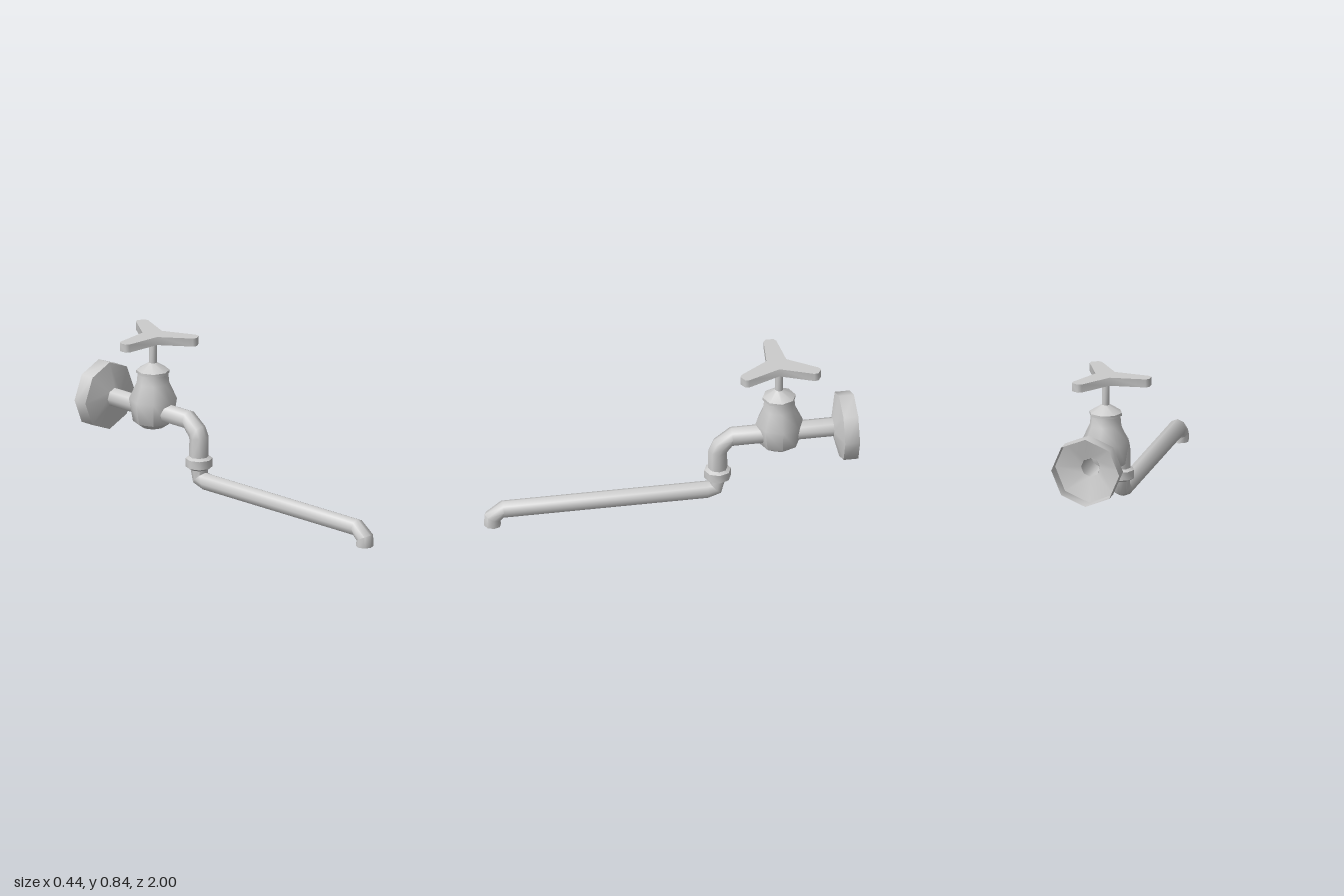
import * as THREE from 'three';
import { toCreasedNormals } from 'three/addons/utils/BufferGeometryUtils.js';

const SIDES = 8;
const PIPE_X = 0.028, VALVE_X = 0.023, VALVE_Z = -0.597;
const material = new THREE.MeshStandardMaterial({ color: 0xcccccc, side: THREE.DoubleSide });

function part(name, geometry, x = 0, y = 0, z = 0) {
  const mesh = new THREE.Mesh(toCreasedNormals(geometry, 0.95), material);
  mesh.name = name;
  mesh.position.set(x, y, z);
  return mesh;
}

// Eight-sided turned form; profile is [radius, height] from bottom to top
function turned(profile) {
  return new THREE.LatheGeometry(profile.map(([r, y]) => new THREE.Vector2(r, y)), SIDES);
}

// Pipe through rings of [y, z, downward angle of travel in degrees, radius]
function pipe(rings, capEnd = false) {
  const pos = [], index = [];
  for (const [y, z, deg, r] of rings) {
    const t = THREE.MathUtils.degToRad(deg);
    for (let j = 0; j < SIDES; j++) {
      const a = j / SIDES * Math.PI * 2, n = r * Math.cos(a);
      pos.push(r * Math.sin(a), y + n * Math.cos(t), z + n * Math.sin(t));
    }
  }
  for (let i = 0; i < rings.length - 1; i++) {
    for (let j = 0; j < SIDES; j++) {
      const a = i * SIDES + j, b = i * SIDES + (j + 1) % SIDES;
      index.push(a, a + SIDES, b, b, a + SIDES, b + SIDES);
    }
  }
  if (capEnd) {
    const s = (rings.length - 1) * SIDES;
    for (let j = 1; j < SIDES - 1; j++) index.push(s, s + j + 1, s + j);
  }
  const g = new THREE.BufferGeometry();
  g.setAttribute('position', new THREE.Float32BufferAttribute(pos, 3));
  g.setIndex(index);
  return g;
}

// Three tapered arms with clipped tips, joined by concave corners
function handleGeometry() {
  const pts = [];
  for (let k = 0; k < 3; k++) {
    const a = Math.PI + k * Math.PI * 2 / 3;
    for (const [u, v] of [[0.222, -0.034], [0.24, -0.021], [0.24, 0.021], [0.222, 0.034]]) {
      pts.push(new THREE.Vector2(u * Math.cos(a) - v * Math.sin(a), u * Math.sin(a) + v * Math.cos(a)));
    }
    const c = a + Math.PI / 3;
    pts.push(new THREE.Vector2(0.062 * Math.cos(c), 0.062 * Math.sin(c)));
  }
  const g = new THREE.ExtrudeGeometry(new THREE.Shape(pts), { depth: 0.045, bevelEnabled: false });
  return g.rotateX(-Math.PI / 2);
}

export function createModel() {
  const group = new THREE.Group();
  group.name = 'wallTap';

  // Hollow wall flange, open at the back
  group.add(part('wallFlange',
    turned([[0.187, -1], [0.187, -0.92], [0.052, -0.885]]).rotateX(Math.PI / 2), PIPE_X, 0.408, 0));

  // Pipe from the wall, through the valve and down the upper elbow
  group.add(part('inletPipe', pipe([
    [0.408, -0.89, 0, 0.052],
    [0.408, -0.337, 0, 0.052],
    [0.355, -0.277, 45, 0.052],
    [0.325, -0.264, 80, 0.052],
    [0.21, -0.264, 90, 0.052],
  ]), PIPE_X));

  // Collar joining the two pipes
  group.add(part('collar', turned([
    [0.046, 0.15], [0.072, 0.165], [0.072, 0.211], [0.05, 0.223],
  ]), PIPE_X, 0, -0.263));

  // Lower elbow, long spout and downturned tip
  group.add(part('spout', pipe([
    [0.17, -0.263, 90, 0.049],
    [0.104, -0.252, 45, 0.047],
    [0.09, -0.205, 0, 0.047],
    [0.09, 0.9, 0, 0.047],
    [0.047, 0.954, 64, 0.047],
    [0, 0.953, 90, 0.047],
  ], true), PIPE_X));

  // Valve
  group.add(part('valveBody', turned([
    [0, 0.315], [0.062, 0.315], [0.107, 0.345], [0.128, 0.47], [0.087, 0.56], [0.081, 0.617],
  ]), VALVE_X, 0, VALVE_Z));
  group.add(part('bonnet', turned([
    [0, 0.615], [0.089, 0.615], [0.089, 0.63], [0.02, 0.673],
  ]), VALVE_X, 0, VALVE_Z));
  group.add(part('stem', new THREE.CylinderGeometry(0.0215, 0.0215, 0.13, SIDES), VALVE_X, 0.73, VALVE_Z));
  group.add(part('handle', handleGeometry(), 0.02, 0.791, -0.588));

  return group;
}
